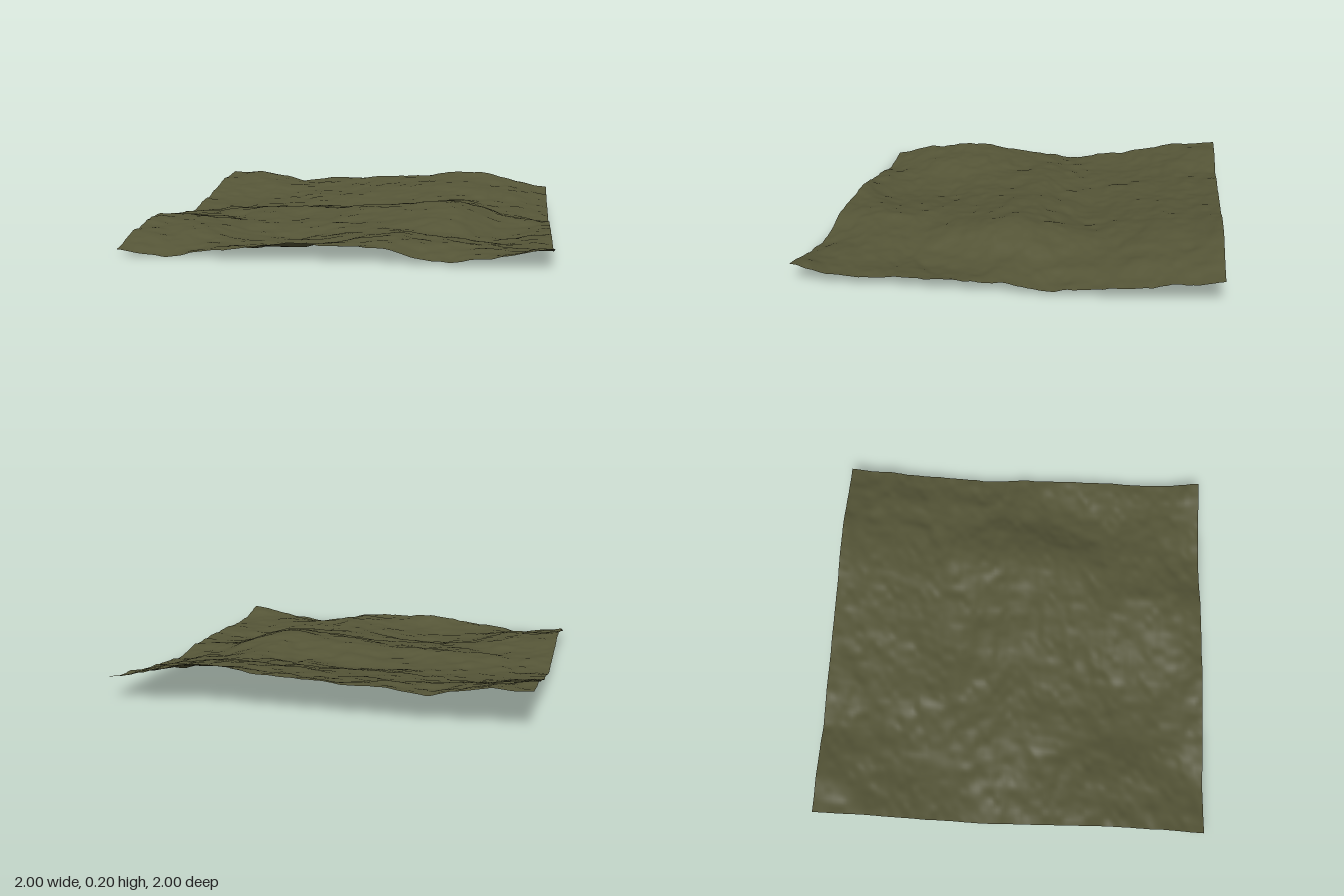
import * as THREE from 'three';

// Broad landform: heights in hundredths, 13 rows from back to front, 9 columns from -x to +x
const LANDFORM = [
  [18.3, 17.2, 13.2, 16, 16.2, 18.2, 20.3, 16.6, 12],
  [16.5, 15, 12.5, 13.5, 14, 15.5, 16.5, 14, 9.5],
  [14.8, 11.8, 10.8, 11.5, 12.4, 13.8, 14.3, 12.2, 6.8],
  [11, 8, 8.7, 9.2, 10, 10.7, 11.2, 9, 5.2],
  [8, 6.7, 7.2, 7.2, 6.2, 8.7, 10.8, 7, 4],
  [4.8, 6.5, 7.7, 8.2, 8.8, 11, 13, 6.5, 2.5],
  [6.5, 7.7, 9.5, 10.5, 11.3, 13.5, 15, 7.5, 4.5],
  [8, 7.5, 7.4, 7.8, 9.3, 11.8, 13.3, 5, 4.5],
  [10.2, 9.2, 7, 6, 7.5, 9.5, 9.5, 3.3, 5.5],
  [11.9, 9.2, 5, 2.8, 5.8, 7.8, 6, 3, 5.5],
  [9.3, 7.6, 4, 2.6, 5.5, 8, 6, 4, 4.8],
  [7, 4.5, 3.4, 3.2, 6.5, 8.5, 5, 4.6, 5],
  [2.7, 0.5, 4.5, 7.6, 7.5, 7.2, 1.6, 5, 9.3],
];

// Smooth curve through four neighbouring samples
function cubic(a, b, c, d, t) {
  return b + 0.5 * t * (c - a + t * (2 * a - 5 * b + 4 * c - d + t * (3 * (b - c) + d - a)));
}

function landHeight(x, z) {
  const u = (x + 1) * 4, v = (z + 1) * 6;
  const i = Math.min(7, Math.floor(u)), j = Math.min(11, Math.floor(v));
  const at = (list, k) => list[THREE.MathUtils.clamp(k, 0, list.length - 1)];
  const rows = [-1, 0, 1, 2].map((n) => {
    const row = at(LANDFORM, j + n);
    return cubic(at(row, i - 1), at(row, i), at(row, i + 1), at(row, i + 2), u - i);
  });
  return cubic(...rows, v - j) / 100;
}

// Seeded value noise in the range -1 to 1
function hash(i, j) {
  const s = Math.sin(i * 127.1 + j * 311.7 + 17.3) * 43758.5453;
  return (s - Math.floor(s)) * 2 - 1;
}

function noise(x, z) {
  const i = Math.floor(x), j = Math.floor(z);
  const fade = (t) => t * t * t * (t * (6 * t - 15) + 10);
  const u = fade(x - i), v = fade(z - j);
  const near = THREE.MathUtils.lerp(hash(i, j), hash(i + 1, j), u);
  const far = THREE.MathUtils.lerp(hash(i, j + 1), hash(i + 1, j + 1), u);
  return THREE.MathUtils.lerp(near, far, v);
}

// Small bumps, drawn out slightly along x
function bumps(x, z) {
  return 0.006 * noise(x * 6 + 9, z * 8 + 4)
    + 0.006 * noise(x * 11 + z * 3, z * 14 - x * 2)
    + 0.003 * noise(x * 22, z * 28);
}

export function createModel() {
  const group = new THREE.Group();
  group.name = 'terrain';
  const olive = new THREE.MeshStandardMaterial({ color: 0x555537, side: THREE.DoubleSide });
  olive.name = 'olive ground';

  // Ground sheet, raised vertex by vertex
  const geometry = new THREE.PlaneGeometry(2, 2, 140, 140).rotateX(-Math.PI / 2);
  const p = geometry.attributes.position;
  for (let k = 0; k < p.count; k++) {
    const x = p.getX(k), z = p.getZ(k);
    p.setY(k, landHeight(x, z) + bumps(x, z));
  }
  // Rest the lowest point on y = 0
  geometry.computeBoundingBox();
  geometry.translate(0, -geometry.boundingBox.min.y, 0);
  geometry.computeVertexNormals();

  const ground = new THREE.Mesh(geometry, olive);
  ground.name = 'groundSurface';
  group.add(ground);
  return group;
}
